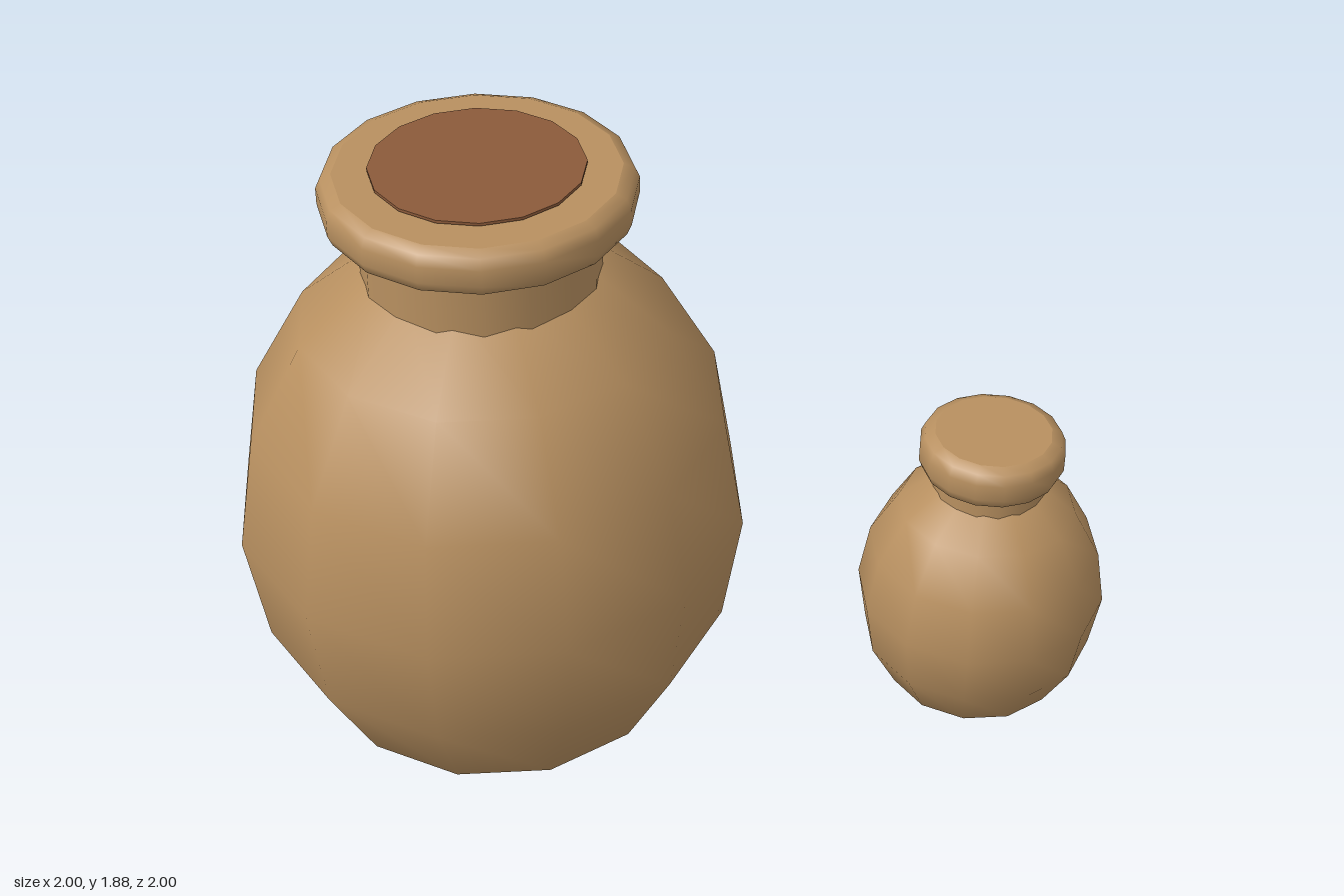
import * as THREE from 'three';

const clay = new THREE.MeshStandardMaterial({ color: 0xb89060 });
clay.name = 'tan clay';
const lid = new THREE.MeshStandardMaterial({ color: 0x8b5a3a });
lid.name = 'brown stopper';

function part(name, geometry, material, y) {
  const mesh = new THREE.Mesh(geometry, material);
  mesh.name = name;
  mesh.position.y = y;
  return mesh;
}

// Solid lip with softly rounded edges, from y = 0 up to h
function lipGeometry(r, h) {
  const a = 0.04, b = 0.012;
  const points = [
    [0, 0], [r - a, 0], [r - a, 0], [r - b, b], [r, a],
    [r, h - a], [r - b, h - b], [r - a, h], [r - a, h], [0, h],
  ].map(([x, y]) => new THREE.Vector2(x, y));
  return new THREE.LatheGeometry(points, 16);
}

// Egg-shaped body, straight neck and thick lip
function jar(name, { x, z, radius, height, bottom, neckR, lipR, lipY, lipH }) {
  const group = new THREE.Group();
  group.name = name;
  group.position.set(x, 0, z);

  const body = new THREE.SphereGeometry(1, 12, 8);
  body.scale(radius, height / 2, radius);
  group.add(part('body', body, clay, bottom + height / 2));

  const neckBottom = bottom + height * 0.9;
  const neckH = lipY + 0.01 - neckBottom;
  group.add(part('neck', new THREE.CylinderGeometry(neckR, neckR, neckH, 16, 1, true), clay, neckBottom + neckH / 2));
  group.add(part('lip', lipGeometry(lipR, lipH), clay, lipY));
  return group;
}

export function createModel() {
  const model = new THREE.Group();
  model.name = 'jars';

  const large = jar('largeJar', {
    x: -0.31, z: -0.31, radius: 0.69, height: 1.68, bottom: 0,
    neckR: 0.31, lipR: 0.405, lipY: 1.74, lipH: 0.125,
  });
  // Dark stopper disc in the mouth
  large.add(part('stopper', new THREE.CylinderGeometry(0.275, 0.275, 0.008, 16), lid, 1.875));

  const small = jar('smallJar', {
    x: 0.655, z: 0.655, radius: 0.345, height: 0.83, bottom: 0.02,
    neckR: 0.155, lipR: 0.2, lipY: 0.85, lipH: 0.127,
  });

  model.add(large, small);
  return model;
}
